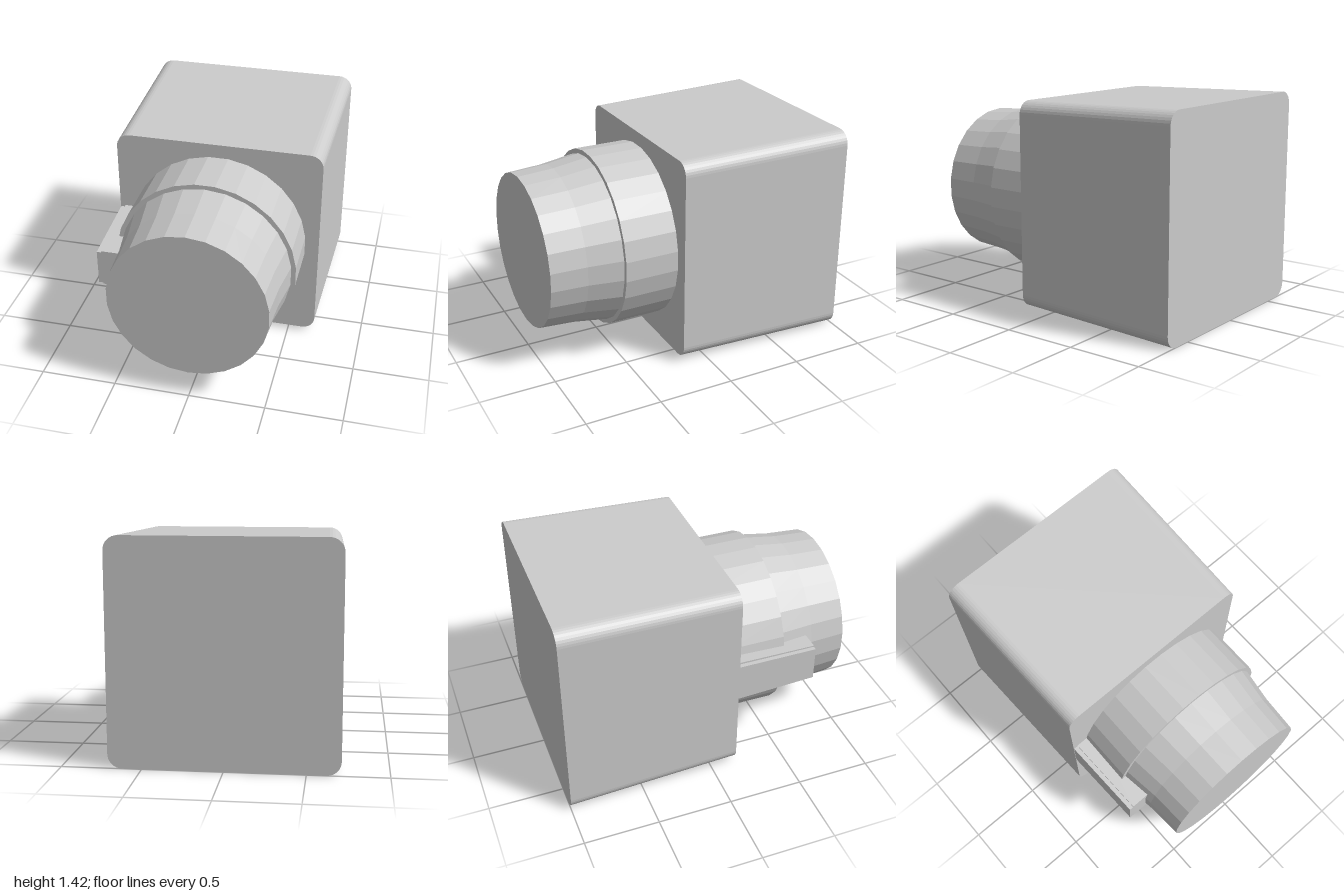
import * as THREE from 'three';

const CY = 0.715; // height of the central axis
const BACK = -1, FACE = 0.17; // z of the body's ends
const material = new THREE.MeshStandardMaterial({ color: 0xcccccc, flatShading: true });

function part(name, geometry) {
  geometry.computeVertexNormals();
  const mesh = new THREE.Mesh(geometry, material);
  mesh.name = name;
  return mesh;
}

// Square outline with rounded corners, centred on the origin
function roundedSquare(h, r) {
  const s = new THREE.Shape();
  s.moveTo(-h + r, -h);
  s.absarc(h - r, -h + r, r, -Math.PI / 2, 0);
  s.absarc(h - r, h - r, r, 0, Math.PI / 2);
  s.absarc(-h + r, h - r, r, Math.PI / 2, Math.PI);
  s.absarc(-h + r, -h + r, r, Math.PI, Math.PI * 1.5);
  return s;
}

// Solid of revolution about z, from [radius, z] pairs
function turned(profile, sides, phase) {
  const g = new THREE.LatheGeometry(profile.map(([r, z]) => new THREE.Vector2(r, z)), sides, phase);
  return g.rotateX(Math.PI / 2).translate(0, CY, 0);
}

// Box along z whose outer side and height shrink towards the front
function taperedBar(outer, inner, half, z0, z1) {
  const g = new THREE.BoxGeometry(1, 1, 1);
  const p = g.attributes.position;
  for (let i = 0; i < p.count; i++) {
    const end = p.getZ(i) > 0 ? 1 : 0;
    p.setXYZ(i,
      p.getX(i) < 0 ? outer[end] : inner[end],
      CY + Math.sign(p.getY(i)) * half[end],
      end ? z1 : z0);
  }
  return g;
}

export function createModel() {
  const model = new THREE.Group();

  // Body: rounded square block, slightly narrower at the front
  const body = new THREE.ExtrudeGeometry(roundedSquare(0.71, 0.09),
    { depth: FACE - BACK, bevelEnabled: false, curveSegments: 4 });
  body.translate(0, 0, BACK);
  const p = body.attributes.position;
  for (let i = 0; i < p.count; i++) {
    const k = p.getZ(i) > 0 ? 0.682 / 0.71 : 1;
    p.setXY(i, p.getX(i) * k, CY + p.getY(i) * k);
  }
  model.add(part('body', body));

  // Collar and tapering plug
  model.add(part('collar', turned(
    [[0, FACE - 0.02], [0.593, FACE - 0.02], [0.593, 0.53], [0, 0.53]], 28, Math.PI / 28)));
  model.add(part('plug', turned(
    [[0, 0.5], [0.563, 0.5], [0.563, 0.53], [0.529, 0.76], [0.514, 1], [0, 1]], 26, 0)));

  // Key along the right side: a wide bar with a narrower outer strip
  const key = new THREE.Group();
  key.name = 'key';
  key.add(part('keyBar', taperedBar([-0.65, -0.637], [-0.5, -0.5], [0.143, 0.127], FACE - 0.02, 0.715)));
  key.add(part('keyStrip', taperedBar([-0.68, -0.665], [-0.64, -0.627], [0.131, 0.118], FACE - 0.02, 0.715)));
  model.add(key);

  return model;
}
